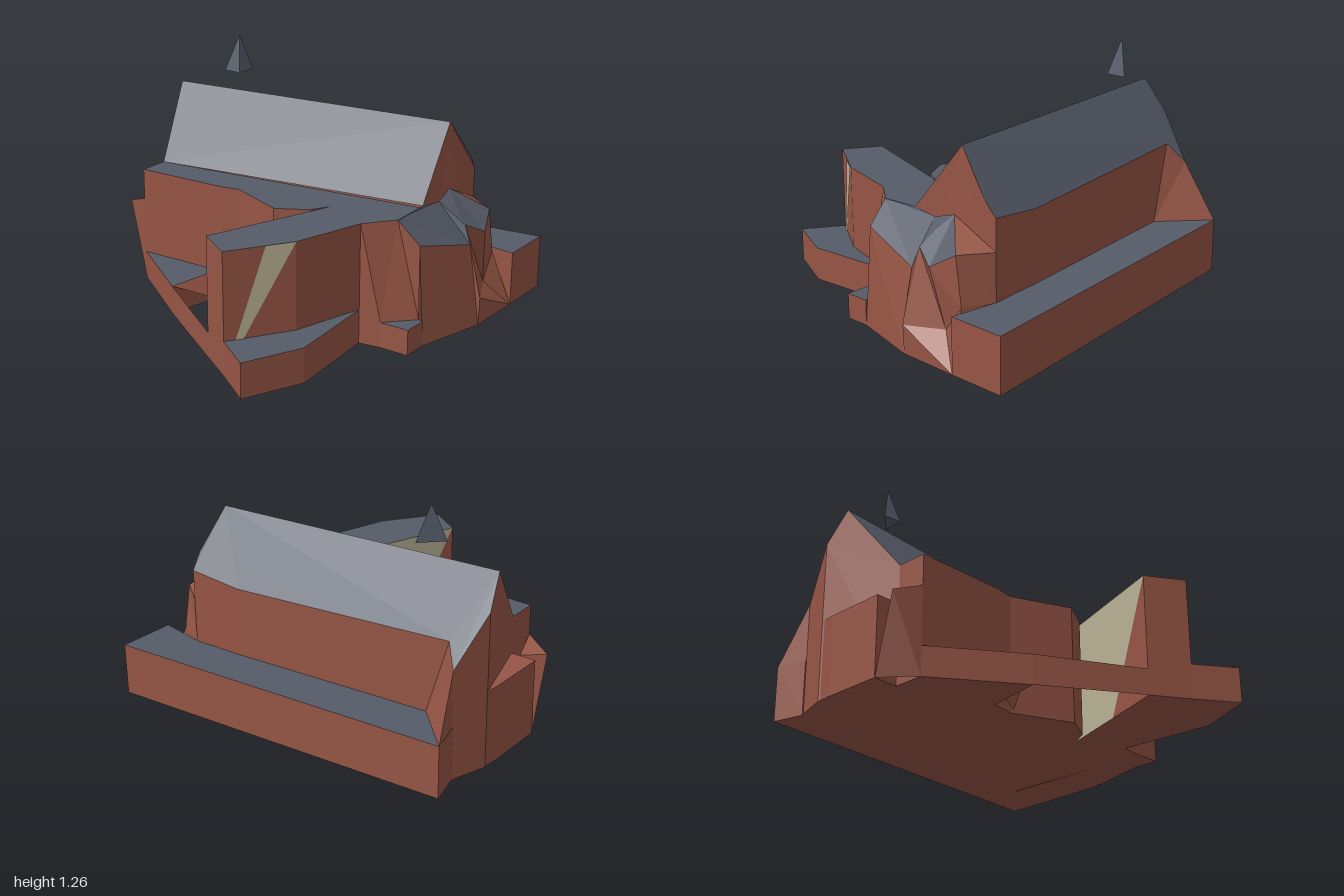
import * as THREE from 'three';

const makeMaterial = (name, color) => {
  const m = new THREE.MeshStandardMaterial({ color, side: THREE.DoubleSide, flatShading: true });
  m.name = name;
  return m;
};

export function createModel() {
  const model = new THREE.Group();
  model.name = 'church';
  const brick = makeMaterial('brick', 0x965545);
  const slate = makeMaterial('slate', 0x555b68);
  const plaster = makeMaterial('plaster', 0xbab196);

  // One mesh from a list of convex polygons, each a list of [x, y, z] corners
  const faces = (name, material, polygons, parent = model) => {
    const pos = [];
    for (const p of polygons)
      for (let i = 1; i < p.length - 1; i++) pos.push(...p[0], ...p[i], ...p[i + 1]);
    const g = new THREE.BufferGeometry();
    g.setAttribute('position', new THREE.Float32BufferAttribute(pos, 3));
    g.computeVertexNormals();
    const mesh = new THREE.Mesh(g, material);
    mesh.name = name;
    parent.add(mesh);
  };

  // Triangles of a flat outline of [x, z] corners at height y
  const level = (outline, y) => {
    const pts = outline.map(([x, z]) => new THREE.Vector2(x, -z));
    if (THREE.ShapeUtils.isClockWise(pts)) pts.reverse();
    return THREE.ShapeUtils.triangulateShape(pts, [])
      .map((t) => t.map((i) => [pts[i].x, y, -pts[i].y]));
  };

  // Vertical wall between two plan corners
  const wall = (a, b, y0, y1) =>
    [[a[0], y0, a[1]], [b[0], y0, b[1]], [b[0], y1, b[1]], [a[0], y1, a[1]]];

  // Brick block with a flat roof; one wall may be left out
  const block = (name, outline, height, roof = slate, skip = -1) => {
    const group = new THREE.Group();
    group.name = name;
    const sides = outline.map((a, i) => wall(a, outline[(i + 1) % outline.length], 0, height))
      .filter((_, i) => i !== skip);
    faces(name + 'Walls', brick, [...sides, ...level(outline, 0)], group);
    faces(name + 'Roof', roof, level(outline, height), group);
    model.add(group);
  };

  // Nave: pitched roof over brick walls
  const ridgeB = [0.015, 0.98, -0.855], ridgeF = [0.45, 0.97, 0.66];
  const leftB = [-0.25, 0.61, -0.71], leftF = [0.17, 0.62, 0.735];
  const rightB = [0.265, 0.68, -0.79], rightM = [0.61, 0.65, 0.365], rightF = [0.68, 0.68, 0.645];
  const hipTop = [0.12, 0.82, -0.905], hipLow = [0.32, 0.58, -0.875];
  const shoulder = [0.62, 0.76, 0.665];
  const down = ([x, , z], y = 0) => [x, y, z];
  faces('naveRoof', slate, [
    [leftB, leftF, ridgeF, ridgeB],
    [ridgeF, shoulder, rightF, rightM, rightB, ridgeB],
    [ridgeB, rightB, hipLow, hipTop],
  ]);
  faces('naveWalls', brick, [
    [down(rightF), down(rightM), rightM, rightF],
    [down(rightM), down(rightB), rightB, rightM],
    [ridgeF, leftF, down(leftF), down(rightF), rightF, shoulder],
    [hipTop, ridgeB, leftB, down(leftB), down(hipTop)],
    [hipTop, down(hipTop), down(hipLow), hipLow],
    [hipLow, rightB, [0.3, 0.28, -0.68], [0.475, 0.28, -0.95]],
    [hipLow, [0.475, 0.28, -0.95], down(hipLow, 0.28)],
    ...level([[0.32, -0.88], [0.69, 0.63], [0.17, 0.735], [-0.25, -0.71], [-0.28, -0.84], [0.12, -0.905]], 0),
  ]);

  // Low aisle along the nave
  block('aisle', [[0.475, -0.95], [0.99, 0.855], [0.69, 0.9], [0.68, 0.63], [0.3, -0.68], [0.32, -0.88]], 0.28);

  // Flat-roofed wing wrapping the courtyard, with one plastered wall
  const yardA = [-0.825, 0.29], yardB = [-0.13, 0.41];
  block('wing', [
    [-0.41, -0.68], [-0.25, -0.71], [0.17, 0.735], [-0.04, 0.765], [-0.205, 0.675], [-0.585, 0.63],
    [-0.905, 0.49], yardA, yardB, [-0.24, 0.37], [-0.345, 0.235], [-0.275, -0.09], [-0.31, -0.185],
  ], 0.61, slate, 7);
  const foot = [-0.5, 0, 0.346];
  faces('courtyardPlaster', plaster, [
    [[-0.825, 0.61, 0.29], foot, [-0.13, 0, 0.41], [-0.13, 0.61, 0.41]],
    [[-0.13, 0.4, 0.41], [-0.14, 0.4, 0.35], [-0.24, 0.4, 0.37]],
  ]);
  faces('courtyardBrick', brick, [[[-0.825, 0.61, 0.29], [-0.825, 0, 0.29], foot]]);

  // Slanting plaster strip on the front of the wing
  faces('plasterStrip', plaster, [[
    [-0.72, 0.612, 0.575], [-0.855, 0.175, 0.516], [-0.82, 0.175, 0.531], [-0.585, 0.612, 0.634],
  ]]);

  // Low blocks in front of the wing, behind the courtyard and beside the porch
  block('frontTerrace', [[-0.905, 0.49], [-1, 0.705], [-0.69, 0.79], [-0.205, 0.675], [-0.585, 0.63]], 0.175);
  block('courtyardShed', [[-0.41, -0.68], [-0.62, -0.215], [-0.3, -0.215], [-0.31, -0.6]], 0.15);
  block('porchStep', [[-0.17, 0.78], [-0.145, 0.93], [-0.015, 0.91], [-0.015, 0.78]], 0.13);
  faces('courtyardWall', brick, [
    [[-0.62, 0, -0.215], yardA.toSpliced(1, 0, 0), yardA.toSpliced(1, 0, 0.13), [-0.62, 0.15, -0.215]],
    [[-0.62, 0.15, -0.215], [-0.29, 0.15, -0.215], [-0.31, 0, -0.1]],
  ]);

  // Bay and buttress at the back
  block('backBay', [[-0.28, -0.84], [0.04, -0.895], [0.12, -0.9], [-0.25, -0.71]], 0.41, brick);
  const tip = [-0.385, 0.4, -0.825];
  faces('buttress', brick, [
    [tip, [-0.28, 0, -0.84], [-0.41, 0, -0.68]],
    [tip, [-0.41, 0, -0.68], [-0.41, 0.45, -0.68]],
    [tip, [-0.41, 0.45, -0.68], [-0.28, 0.4, -0.74]],
    [tip, [-0.28, 0.4, -0.74], [-0.28, 0, -0.84]],
  ]);

  // Porch with a bent roof and a small turret
  const A = [-0.045, 0.61, 0.765], B = [-0.01, 0.5, 0.875], C = [0.36, 0.41, 0.885];
  const D = [0.365, 0.5, 0.845], E = [0.385, 0.57, 0.77], F = [0.425, 0.64, 0.69], G = [0.31, 0.605, 0.72];
  const H = [0.485, 0.445, 0.875], I = [0.6, 0.52, 0.81];
  const P = [0.37, 0.145, 0.95], Q = [0.545, 0.15, 0.83], R = [0.69, 0, 0.9], S = [0.64, 0.28, 0.81];
  const corner = [-0.205, 0.61, 0.675], step = [-0.17, 0.13, 0.78];
  faces('porchRoof', slate, [
    [A, B, C, G], [G, C, D], [G, D, E, F], [A, G, leftF],
    [F, E, D, H], [F, H, I],
  ]);
  faces('porchWalls', brick, [
    [corner, down(corner), down(step), step],
    [corner, step, A],
    [A, step, [-0.015, 0.13, 0.885], B],
    [B, [-0.015, 0, 0.91], [0.37, 0, 0.945], C],
    [C, [0.37, 0, 0.945], P],
    [D, C, P, Q, H],
    [H, Q, S, I],
    [P, Q, R], [Q, S, R], [P, [0.37, 0, 0.945], R],
    [I, S, [0.68, 0.28, 0.645], [0.68, 0.52, 0.645]],
    [F, I, [0.68, 0.52, 0.645]],
    [S, R, [0.68, 0, 0.645], [0.68, 0.28, 0.645]],
    ...level([[-0.205, 0.675], [-0.17, 0.78], [-0.015, 0.91], [0.37, 0.945], [0.69, 0.9], [0.68, 0.64], [0.17, 0.735]], 0),
  ]);

  // Three-sided spire tip above the ridge
  const top = [0.16, 1.26, -0.55];
  const base = [[0.1, 1.07, -0.6], [0.11, 1.07, -0.5], [0.225, 1.07, -0.515]];
  faces('spire', slate, [...base.map((p, i) => [top, p, base[(i + 1) % 3]]), [...base].reverse()]);

  return model;
}
